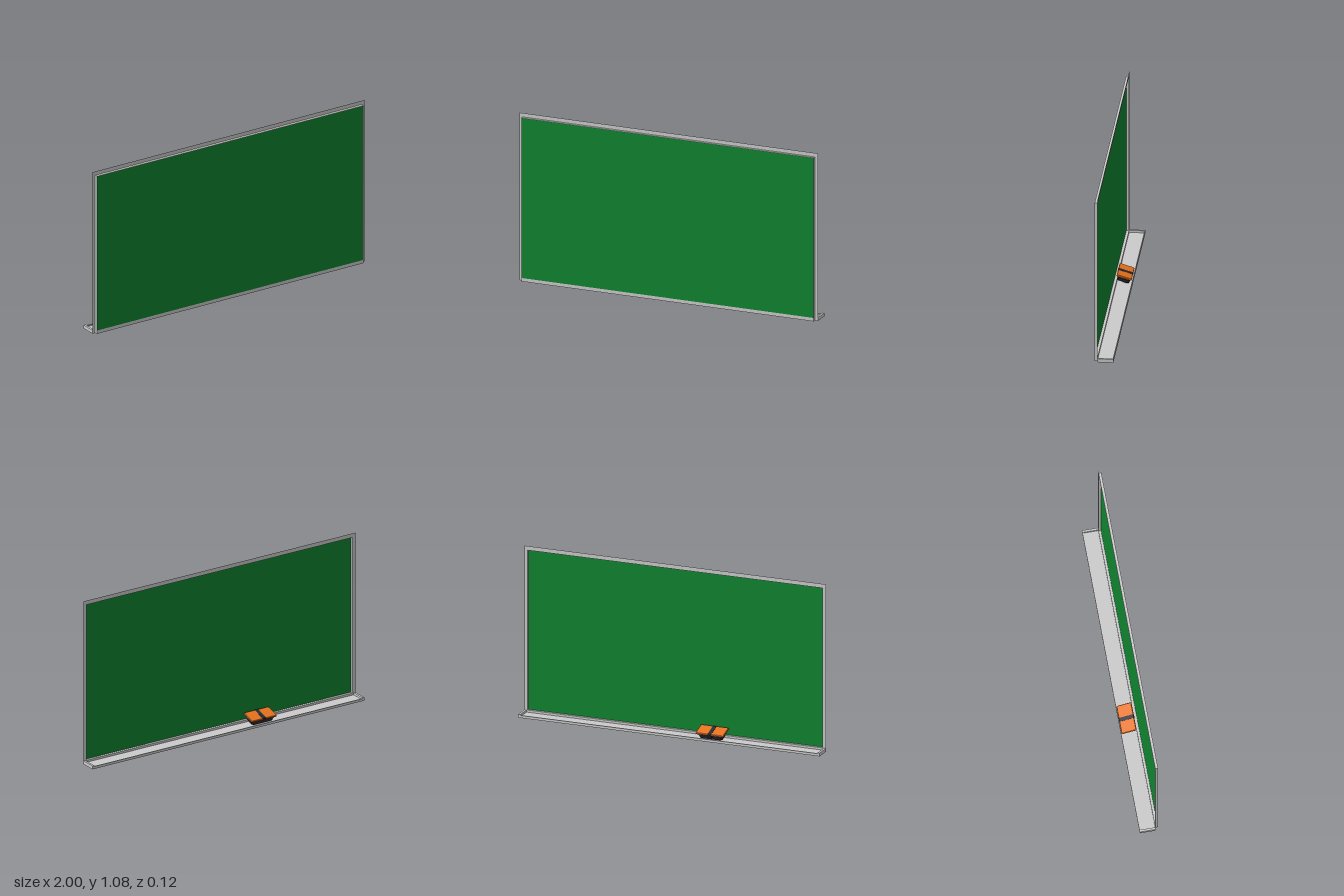
import * as THREE from 'three';

const grey = new THREE.MeshStandardMaterial({ color: 0xcccccc, side: THREE.DoubleSide });
const green = new THREE.MeshStandardMaterial({ color: 0x108430 });
const orange = new THREE.MeshStandardMaterial({ color: 0xe8741e, flatShading: true });
const black = new THREE.MeshStandardMaterial({ color: 0x2b2b35, flatShading: true });

function add(parent, name, geometry, material) {
  const mesh = new THREE.Mesh(geometry, material);
  mesh.name = name;
  parent.add(mesh);
  return mesh;
}

// Box given by its lower and upper limits on each axis
function box(parent, name, [x0, x1], [y0, y1], [z0, z1], material) {
  const mesh = add(parent, name, new THREE.BoxGeometry(x1 - x0, y1 - y0, z1 - z0), material);
  mesh.position.set((x0 + x1) / 2, (y0 + y1) / 2, (z0 + z1) / 2);
  return mesh;
}

// Block with eight-sided outline in plan; layers are [y, half width, half depth]
function chamferedBlock(layers, cut) {
  const positions = [], index = [];
  for (const [y, w, d] of layers) {
    const ring = [[w, d - cut], [w - cut, d], [cut - w, d], [-w, d - cut],
      [-w, cut - d], [cut - w, -d], [w - cut, -d], [w, cut - d]];
    for (const [x, z] of ring) positions.push(x, y, z);
  }
  for (let l = 0; l < layers.length - 1; l++) {
    for (let i = 0; i < 8; i++) {
      const a = l * 8 + i, b = l * 8 + (i + 1) % 8;
      index.push(a, a + 8, b, b, a + 8, b + 8);
    }
  }
  const top = (layers.length - 1) * 8;
  for (let i = 1; i < 7; i++) {
    index.push(0, i, i + 1);
    index.push(top, top + i + 1, top + i);
  }
  const geometry = new THREE.BufferGeometry();
  geometry.setAttribute('position', new THREE.Float32BufferAttribute(positions, 3));
  geometry.setIndex(index);
  geometry.computeVertexNormals();
  return geometry;
}

function createFrame() {
  const frame = new THREE.Group();
  frame.name = 'frame';

  // Flat flange around the opening
  const outline = new THREE.Shape([[-1, 0], [1, 0], [1, 1.08], [-1, 1.08]].map(p => new THREE.Vector2(...p)));
  outline.holes.push(new THREE.Path(
    [[-0.978, 0.022], [-0.978, 1.054], [0.978, 1.054], [0.978, 0.022]].map(p => new THREE.Vector2(...p))));
  add(frame, 'flange', new THREE.ShapeGeometry(outline), grey).position.z = 0.04;

  // Shallow walls between flange and writing surface
  const depth = [0.04, 0.0585];
  for (const s of [-1, 1]) {
    box(frame, 'sideWall', [s * 0.979 - 0.001, s * 0.979 + 0.001], [0, 1.055], depth, grey);
  }
  box(frame, 'topWall', [-0.98, 0.98], [1.053, 1.055], depth, grey);
  box(frame, 'bottomRail', [-0.98, 0.98], [0, 0.022], depth, grey);
  return frame;
}

function createTray() {
  const tray = new THREE.Group();
  tray.name = 'tray';
  box(tray, 'trayFloor', [-1, 1], [0, 0.008], [-0.0585, 0.04], grey);
  box(tray, 'trayLip', [-1, 1], [0, 0.016], [-0.0585, -0.0525], grey);
  for (const s of [-1, 1]) {
    box(tray, 'trayEnd', [s * 0.993 - 0.007, s * 0.993 + 0.007], [0, 0.022], [-0.0585, 0.04], grey);
  }
  return tray;
}

function createEraser() {
  const eraser = new THREE.Group();
  eraser.name = 'eraser';
  // Felt pad, narrowing downwards
  add(eraser, 'felt', chamferedBlock([[-0.036, 0.074, 0.037], [-0.012, 0.084, 0.042], [-0.005, 0.082, 0.042]], 0.01), black);
  // Handle plate with softened edges
  add(eraser, 'handle', chamferedBlock(
    [[-0.006, 0.09, 0.045], [-0.002, 0.0925, 0.048], [0.003, 0.0925, 0.048], [0.006, 0.089, 0.045]], 0.004), orange);
  // Strap around the middle
  add(eraser, 'strap', chamferedBlock(
    [[-0.02, 0.012, 0.043], [-0.007, 0.012, 0.0485], [0.004, 0.012, 0.0485], [0.0075, 0.012, 0.046]], 0.001), black);
  eraser.position.set(-0.267, 0.057, -0.009);
  eraser.rotation.x = -0.29;
  return eraser;
}

export function createModel() {
  const model = new THREE.Group();
  model.name = 'chalkboard';
  model.add(createFrame(), createTray(), createEraser());
  // Writing surface
  box(model, 'board', [-0.978, 0.978], [0.022, 1.053], [0.0565, 0.0585], green);
  return model;
}
